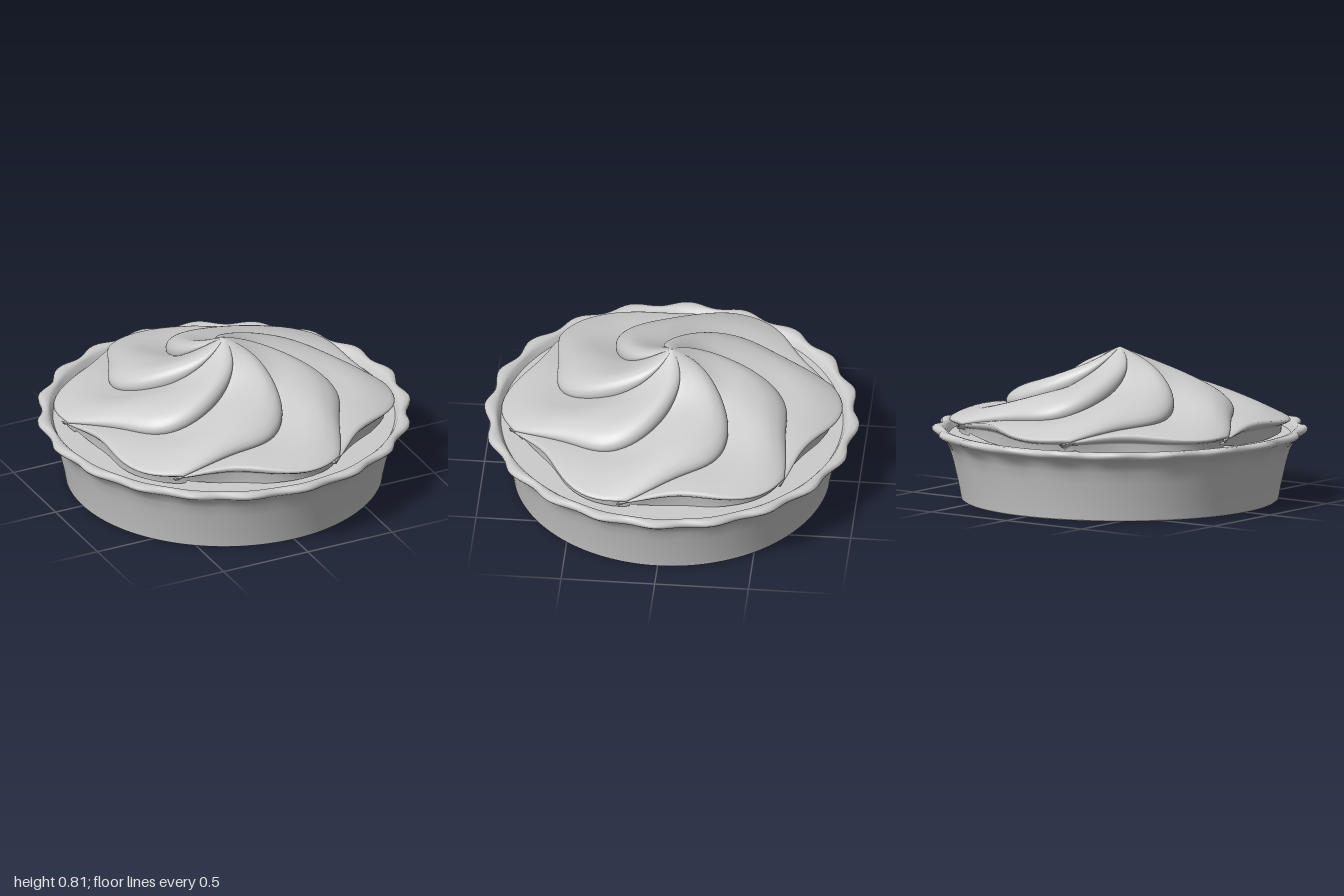
import * as THREE from 'three';
import { mergeVertices } from 'three/addons/utils/BufferGeometryUtils.js';

const ARMS = 6, WAVES = 20, STEP = Math.PI / 3;
const material = new THREE.MeshStandardMaterial({ color: 0xcccccc, side: THREE.DoubleSide });

function addMesh(group, name, geometry) {
  const mesh = new THREE.Mesh(geometry, material);
  mesh.name = name;
  group.add(mesh);
  return mesh;
}

// Crust: a turned wall whose rim is fluted; each point is [radius, height, flute depth]
function crustGeometry() {
  const outline = [
    [0.845, 0.008, 0], [0.856, 0.07, 0], [0.872, 0.14, 0], [0.888, 0.21, 0], [0.905, 0.27, 0.001],
    [0.925, 0.31, 0.004], [0.95, 0.336, 0.009], [0.975, 0.352, 0.014], [0.984, 0.363, 0.016],
    [0.984, 0.376, 0.016], [0.974, 0.387, 0.014], [0.955, 0.39, 0.009], [0.938, 0.387, 0.004],
    [0.926, 0.376, 0.001], [0.915, 0.355, 0], [0.9, 0.33, 0],
  ];
  const lathe = new THREE.LatheGeometry(outline.map(([r, y]) => new THREE.Vector2(r, y)), 200);
  const pos = lathe.attributes.position;
  for (let i = 0; i < pos.count; i++) {
    const depth = outline[i % outline.length][2];
    const x = pos.getX(i), z = pos.getZ(i), r = Math.hypot(x, z);
    const wave = Math.cos(WAVES * Math.atan2(z, x));
    const k = (r + depth * wave) / r;
    pos.setXYZ(i, x * k, pos.getY(i) + depth * 0.25 * wave, z * k);
  }
  lathe.deleteAttribute('uv');
  lathe.deleteAttribute('normal');
  const geometry = mergeVertices(lathe, 1e-5);
  geometry.computeVertexNormals();
  return geometry;
}

// Cross-section of one cream arm: x = share of the arm's angle, y = share of its thickness
const section = new THREE.CatmullRomCurve3([
  [0.05, -0.3], [0.005, 0.1], [0, 0.45], [0.04, 0.75], [0.13, 0.95],
  [0.27, 1], [0.5, 0.8], [0.75, 0.45], [1, 0.1], [1.06, 0],
].map(([t, h]) => new THREE.Vector3(t, h, 0))).getPoints(36);

// Angle of the spiral crease at a given radius
const creaseAngle = (r) => THREE.MathUtils.degToRad(22 + 105 * r + 25 * r * r);
// Scalloped outer edge of the cream
const edgeRadius = (a) => 0.85 + 0.052 * Math.cos(ARMS * (a - THREE.MathUtils.degToRad(84)));
// Thickness of an arm: nothing at the peak, fullest halfway out, thin at the edge
const thickness = (r) => 0.08 * THREE.MathUtils.smoothstep(r, 0, 0.35)
  * (1 - 0.6 * THREE.MathUtils.smoothstep(r, 0.55, 0.88));

// One cream arm: spiral rows from the peak outwards, then rolled under at the edge
function creamArmGeometry() {
  const rows = [];
  for (let i = 0; i <= 44; i++) rows.push({ s: 0.004 + 0.996 * i / 44, k: 1 });
  rows.push({ s: 1, k: 1.006, drop: 0.25 }, { s: 1, k: 0.99, drop: 0.5 },
    { s: 1, k: 0.965, drop: 0.7 }, { s: 1, k: 0.955, drop: 0.85 }, { s: 1, k: 0.95, drop: 1.9 });
  const positions = [], indices = [], n = section.length;
  rows.forEach(({ s, k, drop = 0 }, i) => {
    section.forEach(({ x: t, y: h }, j) => {
      const a = creaseAngle(s * 0.86) + t * STEP;
      const r = s * edgeRadius(a);
      const top = 0.815 - 0.425 * r + thickness(r) * (h - 1);
      const y = drop ? Math.max(0.33, top - drop * Math.max(top - 0.395, 0.02)) : top;
      positions.push(r * k * Math.cos(a), y, r * k * Math.sin(a));
      if (i && j) {
        const d = i * n + j, c = d - 1, b = d - n, e = b - 1;
        indices.push(e, b, c, b, d, c);
      }
    });
  });
  const geometry = new THREE.BufferGeometry();
  geometry.setAttribute('position', new THREE.Float32BufferAttribute(positions, 3));
  geometry.setIndex(indices);
  geometry.computeVertexNormals();
  return geometry;
}

export function createModel() {
  const model = new THREE.Group();
  model.name = 'creamPie';

  addMesh(model, 'crust', crustGeometry());

  // Flat underside with a small bevelled foot
  const base = addMesh(model, 'base', new THREE.CylinderGeometry(0.845, 0.838, 0.008, 200));
  base.position.y = 0.004;

  // Filling inside the crust
  const filling = addMesh(model, 'filling', new THREE.CircleGeometry(0.91, 120));
  filling.rotation.x = -Math.PI / 2;
  filling.position.y = 0.345;

  // Whipped cream swirl
  const swirl = new THREE.Group();
  swirl.name = 'creamSwirl';
  const arm = creamArmGeometry();
  for (let i = 0; i < ARMS; i++) addMesh(swirl, 'creamArm', arm).rotation.y = i * STEP;
  model.add(swirl);

  return model;
}
